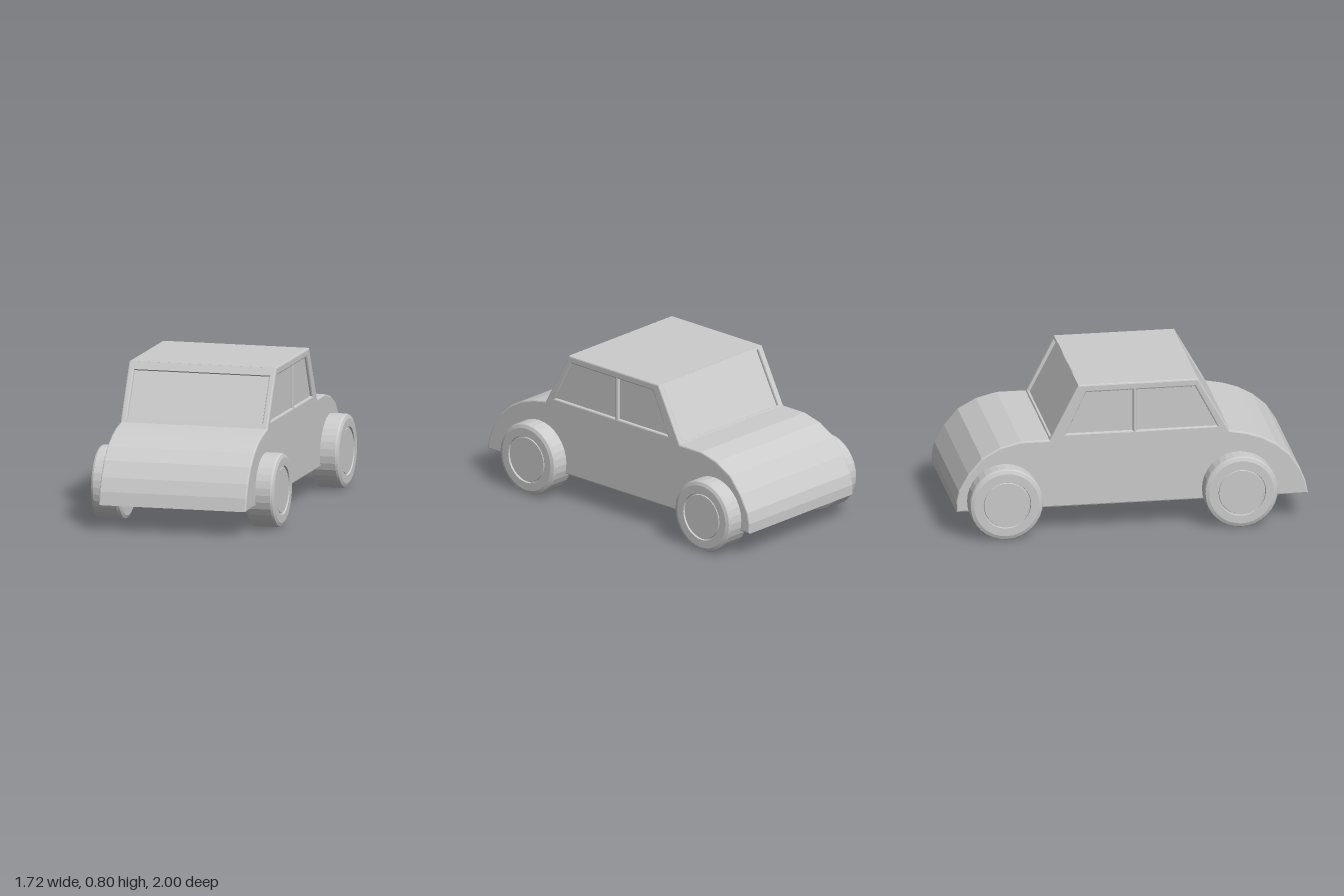
import * as THREE from 'three';
import { toCreasedNormals } from 'three/addons/utils/BufferGeometryUtils.js';

const grey = new THREE.MeshStandardMaterial({ color: 0xcccccc });
const greyDouble = new THREE.MeshStandardMaterial({ color: 0xcccccc, side: THREE.DoubleSide });

// Side profiles as [z, y], from the front lip backwards
const hood = [[0.95, 0.135], [0.936, 0.205], [0.907, 0.276], [0.855, 0.357],
  [0.782, 0.42], [0.702, 0.464], [0.623, 0.49], [0.534, 0.507]];
const deck = [[-0.422, 0.507], [-0.575, 0.507], [-0.684, 0.48], [-0.782, 0.426],
  [-0.854, 0.34], [-0.905, 0.25], [-0.918, 0.19], [-0.916, 0.135]];
const roof = [[0.367, 0.804], [-0.27, 0.804]];
const HALF = 0.401; // half of the body width
const FRAME = 0.016; // depth of the window recesses

const toPoints = (list) => list.map(([a, b]) => new THREE.Vector2(a, b));

function part(name, geometry, material = grey) {
  const mesh = new THREE.Mesh(geometry, material);
  mesh.name = name;
  return mesh;
}

// Flat-shaded surface from quads, each given as four corner points
function quads(list) {
  const pos = [];
  for (const [a, b, c, d] of list) pos.push(...a, ...b, ...c, ...a, ...c, ...d);
  const g = new THREE.BufferGeometry();
  g.setAttribute('position', new THREE.Float32BufferAttribute(pos, 3));
  g.computeVertexNormals();
  return g;
}

// Hood, windscreen, roof, rear window and boot as one band across the car
function shellGeometry() {
  const inset = 0.018;
  const path = [...hood, [0.534 - inset, 0.507], [0.367 - inset, 0.8], [-0.27 + inset, 0.8],
    [-0.422 + inset, 0.507], ...deck];
  const w = HALF - 0.01;
  const list = [];
  for (let i = 0; i < path.length - 1; i++) {
    const [z0, y0] = path[i], [z1, y1] = path[i + 1];
    list.push([[-w, y0, z0], [w, y0, z0], [w, y1, z1], [-w, y1, z1]]);
  }
  return quads(list);
}

// Underside with a shallow tapered recess
function undersideGeometry() {
  const rect = (w, y, z0, z1) => [[w, y, z0], [-w, y, z0], [-w, y, z1], [w, y, z1]];
  const outer = rect(HALF - 0.01, 0.135, 0.95, -0.916);
  const inner = rect(0.24, 0.215, 0.55, -0.51);
  const list = [inner];
  for (let i = 0; i < 4; i++) {
    const j = (i + 1) % 4;
    list.push([outer[i], outer[j], inner[j], inner[i]]);
  }
  return quads(list);
}

// Body side with two window openings
function sideGeometry() {
  const shape = new THREE.Shape(toPoints([...hood, ...roof, ...deck]));
  const openings = [
    [[0.468, 0.536], [0.35, 0.762], [0.041, 0.762], [0.041, 0.536]],
    [[0.019, 0.536], [0.019, 0.762], [-0.228, 0.762], [-0.335, 0.536]],
  ];
  for (const o of openings) shape.holes.push(new THREE.Path(toPoints(o)));
  const bevel = 0.008, depth = 0.018;
  const g = new THREE.ExtrudeGeometry(shape, {
    depth, bevelThickness: bevel, bevelSize: bevel, bevelOffset: -bevel, bevelSegments: 2,
  });
  g.translate(0, 0, -depth / 2);
  g.rotateY(-Math.PI / 2);
  return g;
}

// Sloping window frame, standing on its lower edge
function windowFrame(name, base, top, low, high) {
  const run = base[0] - top[0], rise = top[1] - base[1];
  const len = Math.hypot(run, rise);
  const w = HALF - 0.008, v0 = low * len, v1 = high * len, hw = 0.38;
  const shape = new THREE.Shape(toPoints([[-w, 0], [w, 0], [w, len], [-w, len]]));
  shape.holes.push(new THREE.Path(toPoints([[-hw, v0], [-hw, v1], [hw, v1], [hw, v0]])));
  const g = new THREE.ExtrudeGeometry(shape, { depth: FRAME, bevelEnabled: false });
  g.translate(0, 0, -FRAME);
  g.rotateX(-Math.atan2(run, rise));
  g.translate(0, base[1], base[0]);
  return part(name, g);
}

// Wheel turned around x, outer face towards +x
function wheelGeometry() {
  const profile = [[0, -0.09], [0.172, -0.09], [0.188, -0.083], [0.195, -0.07], [0.195, 0.05],
    [0.19, 0.06], [0.172, 0.067], [0.129, 0.067], [0.127, 0.057], [0.121, 0.057],
    [0.119, 0.063], [0, 0.063]];
  const g = new THREE.LatheGeometry(toPoints(profile), 32);
  g.rotateZ(-Math.PI / 2);
  return toCreasedNormals(g, 0.19);
}

export function createModel() {
  const model = new THREE.Group();
  model.name = 'car';
  const car = new THREE.Group();
  car.name = 'carBody';
  car.rotation.y = -0.5715; // the car stands at an angle
  car.position.set(-0.017, 0, -0.011);
  model.add(car);

  car.add(part('bodyShell', shellGeometry(), greyDouble));
  car.add(part('underside', undersideGeometry(), greyDouble));
  car.add(windowFrame('windscreenFrame', hood[7], roof[0], 0.08, 0.87));
  const rear = windowFrame('rearWindowFrame', [0.422, 0.507], [0.27, 0.804], 0.03, 0.965);
  rear.rotation.y = Math.PI;
  car.add(rear);

  // Roof panel closing the gap between the two frames
  const roofPanel = part('roofPanel', new THREE.BoxGeometry(2 * HALF - 0.016, 0.012, 0.632));
  roofPanel.position.set(0, 0.798, 0.0485);
  car.add(roofPanel);

  // Sides with their recessed glass
  const side = sideGeometry();
  const glassShape = new THREE.Shape(toPoints([[0.49, 0.52], [0.355, 0.78], [-0.24, 0.78], [-0.35, 0.52]]));
  const glass = new THREE.ShapeGeometry(glassShape);
  glass.rotateY(-Math.PI / 2);
  const wheel = wheelGeometry();
  for (const s of [1, -1]) {
    const label = s > 0 ? 'left' : 'right';
    const panel = part(label + 'Side', side);
    panel.position.x = s * (HALF - 0.017);
    const pane = part(label + 'Glass', glass, greyDouble);
    pane.position.x = s * (HALF - FRAME);
    car.add(panel, pane);

    // Wheels
    for (const [end, z] of [['Front', 0.58], ['Rear', -0.666]]) {
      const w = part(label + end + 'Wheel', wheel);
      w.position.set(s * 0.432, 0.195, z);
      if (s < 0) w.rotation.y = Math.PI;
      car.add(w);
    }
  }
  return model;
}
